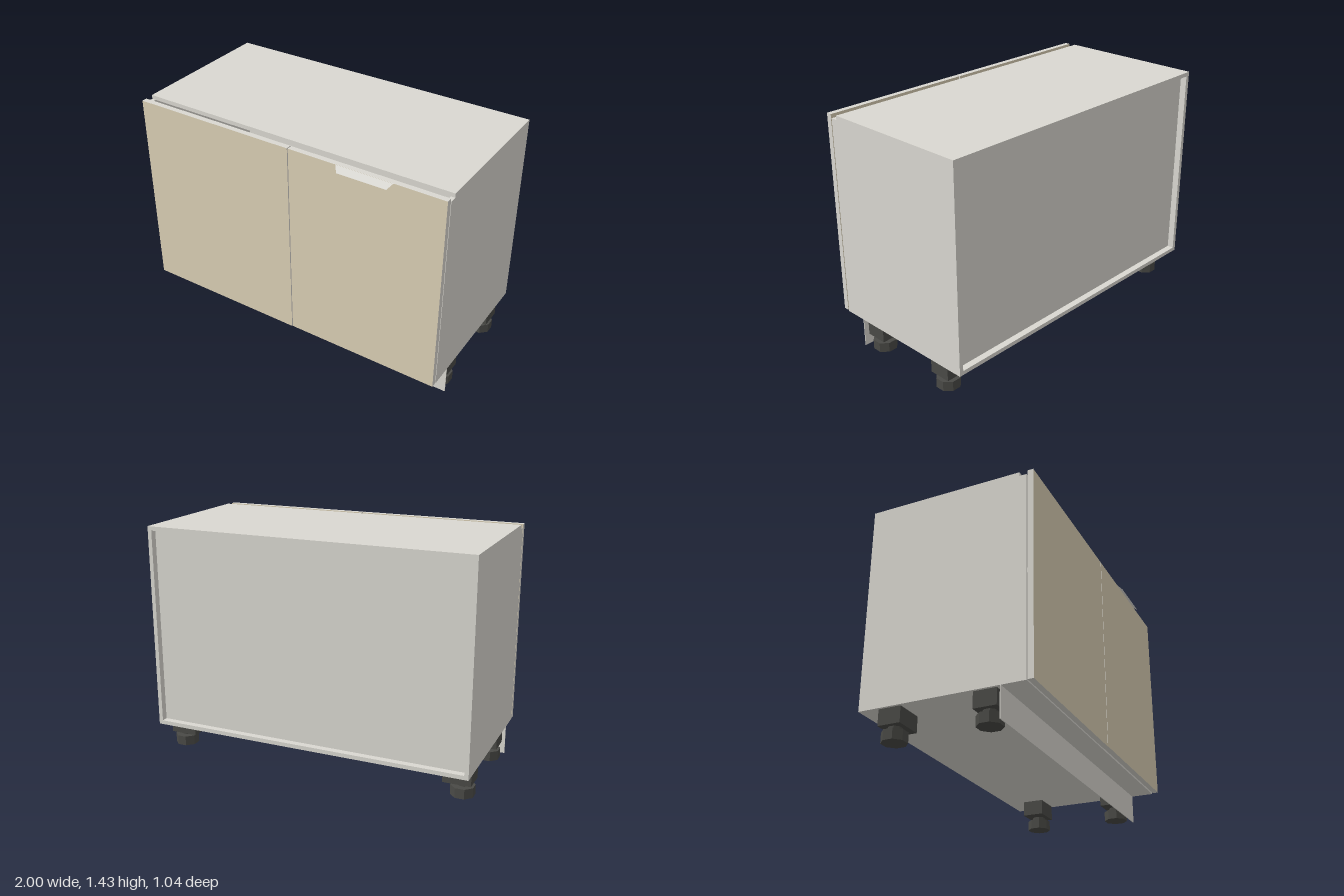
import * as THREE from 'three';

export function createModel() {
  const cabinet = new THREE.Group();
  cabinet.name = 'baseCabinet';

  const mat = (name, color, extra = {}) => {
    const m = new THREE.MeshStandardMaterial({ color, ...extra });
    m.name = name;
    return m;
  };
  const panelGrey = mat('panelGrey', 0xdad8d1);
  const doorTan = mat('doorTan', 0xdacfb5);
  const legBlack = mat('legBlack', 0x4a4a46, { flatShading: true });
  const handleGrey = mat('handleGrey', 0xd8d7d2, { side: THREE.DoubleSide });

  // Box given by its min and max corners
  const box = (name, [x0, y0, z0], [x1, y1, z1], material, parent = cabinet) => {
    const mesh = new THREE.Mesh(new THREE.BoxGeometry(x1 - x0, y1 - y0, z1 - z0), material);
    mesh.position.set((x0 + x1) / 2, (y0 + y1) / 2, (z0 + z1) / 2);
    mesh.name = name;
    parent.add(mesh);
    return mesh;
  };

  const T = 0.025, back = -0.52, front = 0.45, bottom = 0.178, top = 1.403;

  // Carcass: sides, floor, top and recessed back
  box('leftSide', [1 - T, bottom, back], [1, top, front], panelGrey);
  box('rightSide', [-1, bottom, back], [-1 + T, top, front], panelGrey);
  box('floorPanel', [-1 + T, bottom, back], [1 - T, bottom + T, front], panelGrey);
  box('topPanel', [-1, top, back], [1, 1.428, 0.408], panelGrey);
  box('backPanel', [-1 + T, bottom + T, back + 0.04], [1 - T, top, back + 0.055], panelGrey);

  // Doors: tan faces, grey edges
  const doorMaterials = [panelGrey, panelGrey, panelGrey, panelGrey, doorTan, doorTan];
  box('rightDoor', [-1, 0.18, 0.456], [0.037, 1.425, 0.49], doorMaterials);
  box('leftDoor', [0.043, 0.183, 0.456], [1, 1.425, 0.49], doorMaterials);

  // Small bumpers between the carcass and the doors
  for (const x of [-0.985, 0.985])
    box('doorBumper', [x - 0.008, 0.785, front], [x + 0.008, 0.815, 0.456], panelGrey);

  // Sloping finger pull on the top edge of the left door
  const pull = new THREE.BufferGeometry();
  pull.setAttribute('position', new THREE.Float32BufferAttribute([
    0.345, 1.426, 0.488, 0.37, 1.395, 0.52,
    0.67, 1.395, 0.52, 0.695, 1.426, 0.488], 3));
  pull.setIndex([0, 1, 2, 0, 2, 3]);
  pull.computeVertexNormals();
  const handle = new THREE.Mesh(pull, handleGrey);
  handle.name = 'doorPull';
  cabinet.add(handle);

  // Plinth board set back below the doors
  box('plinth', [-1, 0, 0.307], [1, bottom, 0.312], panelGrey);

  // Adjustable legs: square socket, octagonal neck and foot
  const octagon = (name, width, y0, y1, x, z, parent) => {
    const r = width / 2 / Math.cos(Math.PI / 8);
    const geometry = new THREE.CylinderGeometry(r, r, y1 - y0, 8);
    geometry.rotateY(Math.PI / 8);
    const mesh = new THREE.Mesh(geometry, legBlack);
    mesh.position.set(x, (y0 + y1) / 2, z);
    mesh.name = name;
    parent.add(mesh);
  };
  for (const s of [-1, 1]) {
    for (const z of [0.217, -0.337]) {
      const leg = new THREE.Group();
      leg.name = 'leg';
      const xs = [s * 0.815, s * 0.985].sort((a, b) => a - b);
      box('legSocket', [xs[0], 0.084, z - 0.067], [xs[1], bottom, z + 0.067], legBlack, leg);
      octagon('legNeck', 0.058, 0.06, 0.084, s * 0.92, z, leg);
      octagon('legCollar', 0.076, 0.068, 0.084, s * 0.92, z, leg);
      octagon('legFoot', 0.134, 0, 0.06, s * 0.92, z, leg);
      cabinet.add(leg);
    }
  }
  return cabinet;
}
